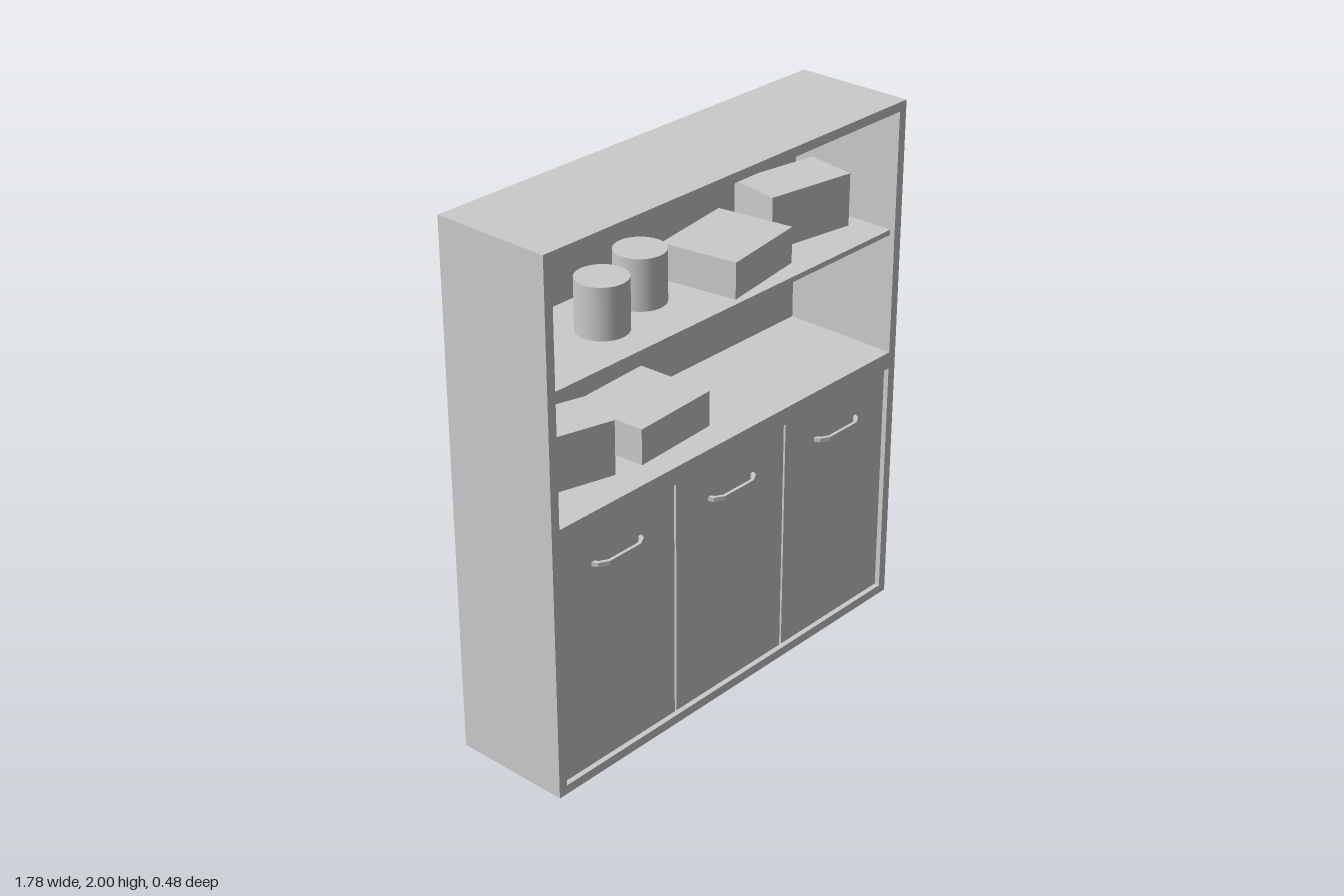
import * as THREE from 'three';

const grey = new THREE.MeshStandardMaterial({ color: 0xcccccc, flatShading: true });
const sheet = new THREE.MeshStandardMaterial({ color: 0xcccccc, side: THREE.DoubleSide });
const smooth = new THREE.MeshStandardMaterial({ color: 0xcccccc });

const HALF = 0.89, FRONT = 0.22, BACK = -0.24, DEPTH = FRONT - BACK;
const INNER = 0.855;
const LOWER = [0.035, 0.97], UPPER = [1.035, 1.965];
const DOOR_Z = 0.2;

export function createModel() {
  const model = new THREE.Group();

  const add = (name, geometry, material, x, y, z, parent = model) => {
    const mesh = new THREE.Mesh(geometry, material);
    mesh.name = name;
    mesh.position.set(x, y, z);
    parent.add(mesh);
    return mesh;
  };
  // Thin sheets: upright facing sideways, or lying flat
  const sideSheet = (name, x, y0, y1, z0, z1) => {
    add(name, new THREE.PlaneGeometry(z1 - z0, y1 - y0), sheet, x, (y0 + y1) / 2, (z0 + z1) / 2)
      .rotation.y = Math.sign(x) * Math.PI / 2;
  };
  const flatSheet = (name, halfWidth, y, z0, z1) => {
    add(name, new THREE.PlaneGeometry(2 * halfWidth, z1 - z0), sheet, 0, y, (z0 + z1) / 2)
      .rotation.x = -Math.PI / 2;
  };

  // Outer shell, open underneath
  for (const s of [-1, 1]) sideSheet('sidePanel', s * HALF, 0, 2, BACK, FRONT);
  flatSheet('topPanel', HALF, 2, BACK, FRONT);
  add('backPanel', new THREE.PlaneGeometry(2 * HALF, 2), sheet, 0, 1, BACK).rotation.y = Math.PI;

  // Front frame with two openings
  const rect = (path, x, y0, y1) =>
    path.moveTo(-x, y0).lineTo(x, y0).lineTo(x, y1).lineTo(-x, y1).closePath();
  const frame = rect(new THREE.Shape(), HALF, 0, 2);
  for (const [y0, y1] of [LOWER, UPPER]) frame.holes.push(rect(new THREE.Path(), INNER, y0, y1));
  add('frontFrame', new THREE.ShapeGeometry(frame), sheet, 0, 0, FRONT);

  // Linings behind each opening: shallow for the doors, full depth for the shelves
  for (const [[y0, y1], depth] of [[LOWER, 0.08], [UPPER, DEPTH]]) {
    for (const s of [-1, 1]) sideSheet('openingSide', s * INNER, y0, y1, FRONT - depth, FRONT);
    flatSheet('openingFloor', INNER, y0, FRONT - depth, FRONT);
    flatSheet('openingCeiling', INNER, y1, FRONT - depth, FRONT);
  }

  // Middle shelf
  add('shelf', new THREE.BoxGeometry(2 * INNER, 0.02, DOOR_Z - BACK), grey,
    0, 1.505, (DOOR_Z + BACK) / 2);

  // Curved handle strip, drawn in plan and extruded upward
  const outer = [[-0.12, 0], [-0.11, 0.02], [-0.075, 0.04], [0.075, 0.04], [0.11, 0.02], [0.12, 0]];
  const inner = [[0.105, 0], [0.098, 0.013], [0.07, 0.028], [-0.07, 0.028], [-0.098, 0.013], [-0.105, 0]];
  const plan = new THREE.Shape([...outer, ...inner].map(([x, z]) => new THREE.Vector2(x, -z)));
  const handleGeo = new THREE.ExtrudeGeometry(plan, { depth: 0.016, bevelEnabled: false });
  handleGeo.rotateX(-Math.PI / 2);

  // Three doors with handles
  const gap = 0.01, doorW = (2 * INNER - 2 * gap) / 3;
  const doorH = LOWER[1] - LOWER[0], doorY = (LOWER[0] + LOWER[1]) / 2;
  for (const i of [-1, 0, 1]) {
    const door = new THREE.Group();
    door.name = 'door';
    door.position.x = i * (doorW + gap);
    model.add(door);
    add('doorPanel', new THREE.BoxGeometry(doorW, doorH, 0.02), grey, 0, doorY, DOOR_Z - 0.01, door);
    add('handle', handleGeo, grey, 0, 0.819, DOOR_Z, door);
  }
  // Dividers behind the gaps between doors
  for (const s of [-1, 1]) {
    add('divider', new THREE.BoxGeometry(gap, doorH, 0.05), grey,
      s * (doorW + gap) / 2, doorY, DOOR_Z - 0.035);
  }

  // Round tins on the shelf
  for (const [x, z] of [[-0.415, 0], [-0.17, -0.06]]) {
    add('tin', new THREE.CylinderGeometry(0.093, 0.093, 0.19, 32), smooth, x, 1.61, z);
  }

  // Storage boxes: x, base y, z, width, height, depth, turn in degrees
  const boxes = [
    [0.2, 1.515, 0, 0.36, 0.135, 0.3, 8.5],
    [0.625, 1.515, -0.065, 0.36, 0.2, 0.205, -9.5],
    [-0.624, 1.035, -0.04, 0.365, 0.205, 0.2, -15.5],
    [-0.197, 1.035, -0.035, 0.36, 0.135, 0.305, 2.9],
  ];
  for (const [x, y, z, w, h, d, turn] of boxes) {
    add('storageBox', new THREE.BoxGeometry(w, h, d), grey, x, y + h / 2, z)
      .rotation.y = THREE.MathUtils.degToRad(turn);
  }

  return model;
}
